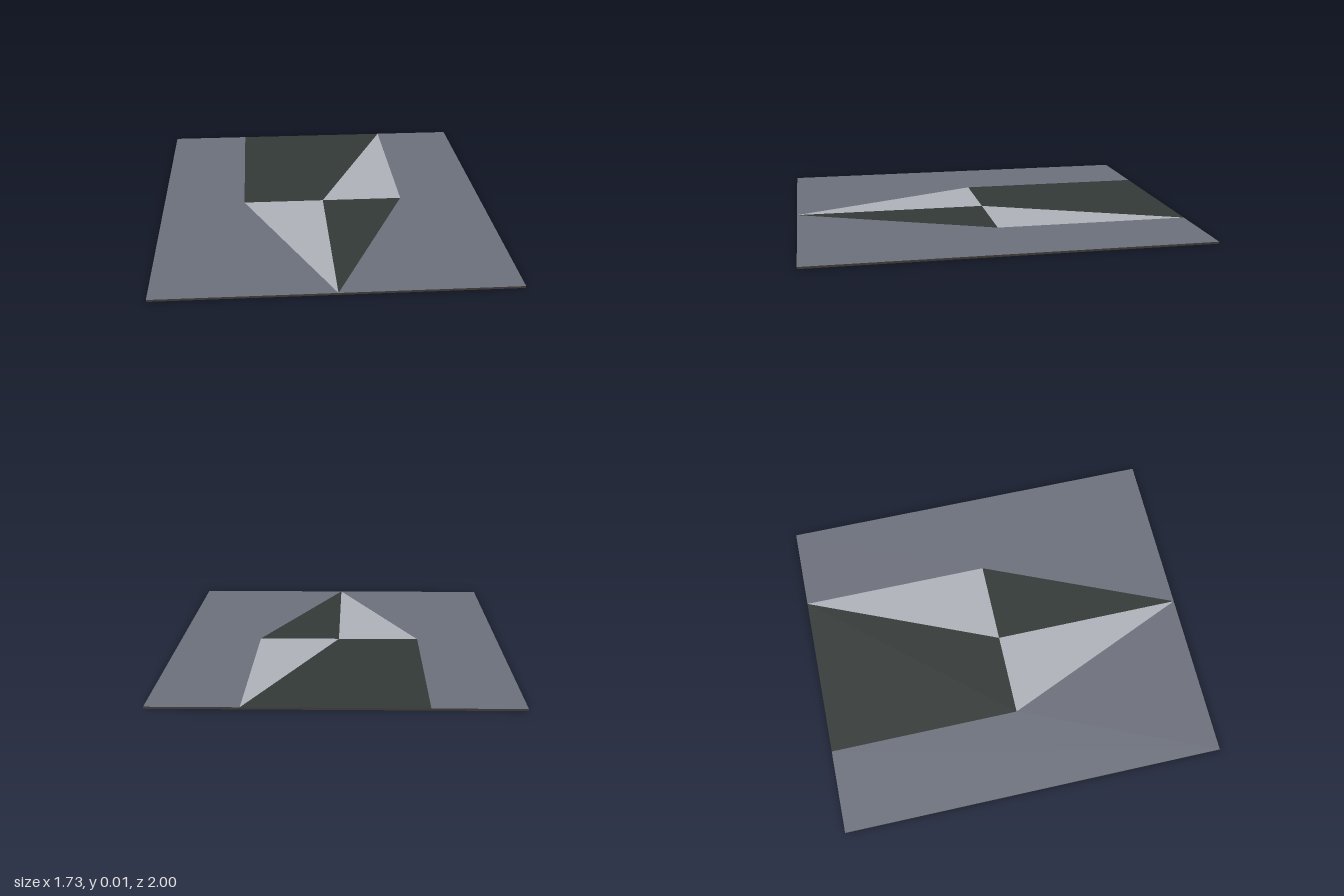
import * as THREE from 'three';

const W = 0.865; // half width
const H = 0.43; // half width of the inlaid motif
const T = 0.01; // panel thickness

export function createModel() {
  const mat = (name, color) => {
    const m = new THREE.MeshStandardMaterial({ color });
    m.name = name;
    return m;
  };
  const slate = mat('slate grey', 0x6e727d);
  const pale = mat('pale grey', 0xb1b4bc);
  const dark = mat('dark green grey', 0x343a38);
  const edge = mat('dark edge', 0x403c3a);

  const model = new THREE.Group();
  model.name = 'inlaidPanel';

  // One inlay: the same outline, as [x, z] corners, on the upper and lower side
  const addInlay = (name, material, corners) => {
    const inlay = new THREE.Group();
    inlay.name = name;
    for (const side of [1, -1]) {
      const shape = new THREE.Shape(corners.map(([x, z]) => new THREE.Vector2(x, -side * z)));
      const geometry = new THREE.ShapeGeometry(shape).rotateX(-side * Math.PI / 2);
      const face = new THREE.Mesh(geometry, material);
      face.name = name + (side > 0 ? 'Upper' : 'Lower');
      face.position.y = side > 0 ? T : 0;
      inlay.add(face);
    }
    model.add(inlay);
  };

  // Background fields either side of the motif
  for (const s of [1, -1]) {
    addInlay(s > 0 ? 'leftField' : 'rightField', slate,
      [[s * W, -1], [s * H, -1], [s * H, 0], [0, 1], [s * W, 1]]);
  }

  // Counterchanged motif: a shaft at the back and a point at the front
  addInlay('darkShaft', dark, [[-H, -1], [H, -1], [0, 0], [-H, 0]]);
  addInlay('paleShaft', pale, [[H, -1], [H, 0], [0, 0]]);
  addInlay('palePoint', pale, [[-H, 0], [0, 0], [0, 1]]);
  addInlay('darkPoint', dark, [[0, 0], [H, 0], [0, 1]]);

  // Thin rim closing the four sides
  for (let i = 0; i < 4; i++) {
    const onEnd = i % 2 === 0;
    const geometry = new THREE.PlaneGeometry(onEnd ? 2 * W : 2, T)
      .translate(0, T / 2, onEnd ? 1 : W)
      .rotateY(i * Math.PI / 2);
    const rim = new THREE.Mesh(geometry, edge);
    rim.name = ['frontRim', 'leftRim', 'backRim', 'rightRim'][i];
    model.add(rim);
  }

  return model;
}
